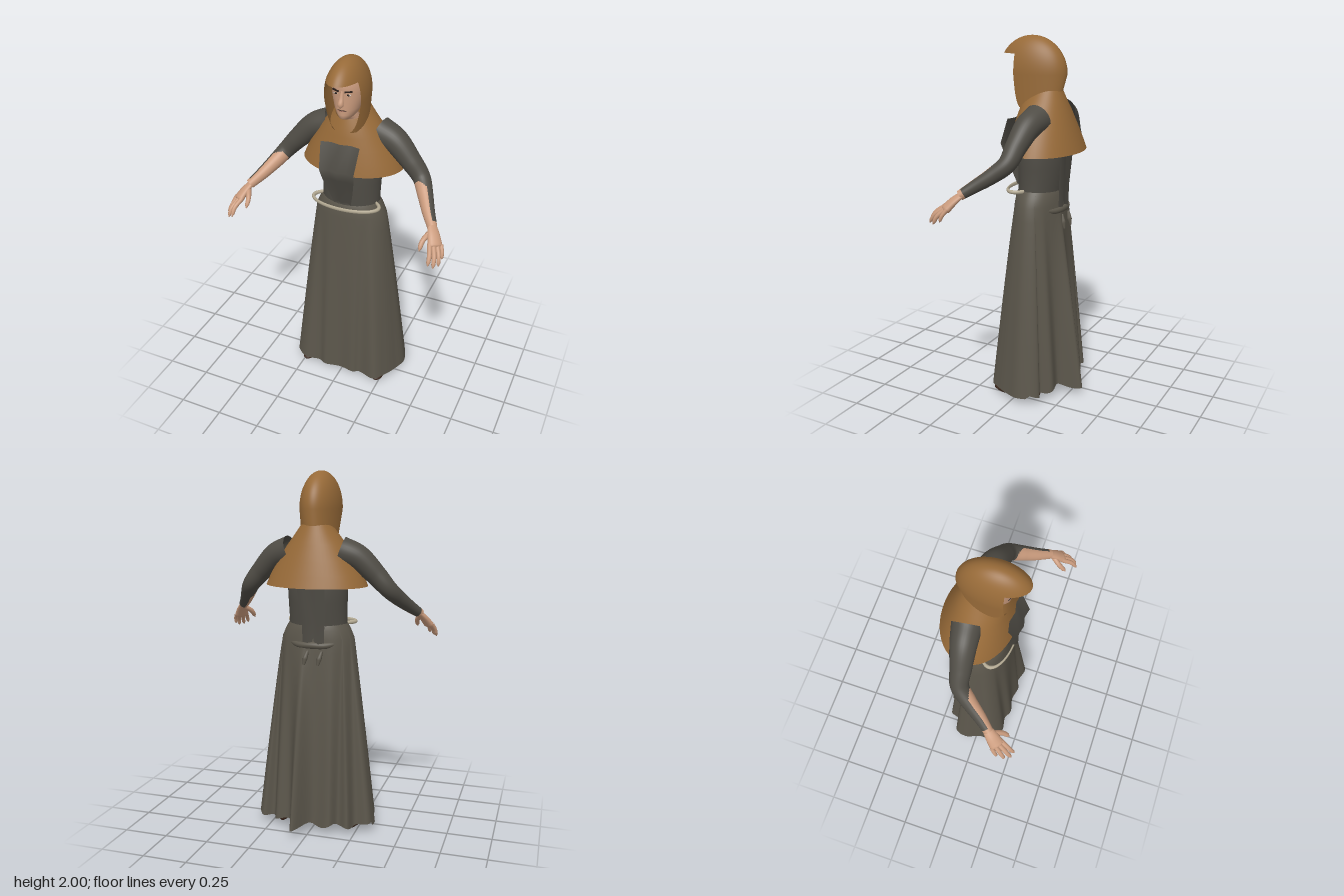
import * as THREE from 'three';

const V = (x, y, z) => new THREE.Vector3(x, y, z);
const mat = (name, color, side = THREE.FrontSide) => {
  const m = new THREE.MeshStandardMaterial({ color, side });
  m.name = name;
  return m;
};

// Surface through rows of points, listed bottom to top; pick() chooses the material group
function grid(rows, closed = true, pick = null) {
  const n = rows[0].length, groups = [[], []];
  for (let j = 0; j < rows.length - 1; j++) {
    for (let i = 0; i < (closed ? n : n - 1); i++) {
      const k = (i + 1) % n, a = j * n + i, b = j * n + k, c = a + n, d = b + n;
      groups[pick ? pick(j, i) : 0].push(a, b, d, a, d, c);
    }
  }
  const geo = new THREE.BufferGeometry().setFromPoints(rows.flat());
  geo.setIndex([...groups[0], ...groups[1]]);
  if (pick) {
    geo.addGroup(0, groups[0].length, 0);
    geo.addGroup(groups[0].length, groups[1].length, 1);
  }
  geo.computeVertexNormals();
  return geo;
}

// Horizontal oval from front depth zf to back depth zb, with optional front gap and tilt
function oval(y, rx, zf, zb, n = 40, gap = 0, tilt = 0) {
  const c = (zf + zb) / 2, r = (zf - zb) / 2;
  return Array.from({ length: n }, (_, i) => {
    const t = gap ? gap + (i / (n - 1)) * (2 * Math.PI - 2 * gap) : (i / n) * 2 * Math.PI;
    return V(rx * Math.sin(t), y - tilt * Math.cos(t), c + r * Math.cos(t));
  });
}

// Tapered tube along a path; ref sets angle zero, flat squashes the other axis
function limb(pts, radii, { ref = V(0, 0, 1), flat = 1, steps = 12, n = 14, pick = null } = {}) {
  const curve = new THREE.CatmullRomCurve3(pts);
  const rows = [];
  for (let j = 0; j <= steps; j++) {
    const u = j / steps, p = curve.getPoint(u), T = curve.getTangent(u);
    const F = ref.clone().addScaledVector(T, -ref.dot(T)).normalize();
    const B = T.clone().cross(F);
    const s = u * (radii.length - 1), k = Math.min(Math.floor(s), radii.length - 2);
    const r = THREE.MathUtils.lerp(radii[k], radii[k + 1], s - k);
    rows.push(Array.from({ length: n }, (_, i) => {
      const a = (i / n) * 2 * Math.PI;
      return p.clone().addScaledVector(F, r * Math.cos(a)).addScaledVector(B, r * flat * Math.sin(a));
    }));
  }
  return grid(rows, true, pick && ((j, i) => pick((j + 0.5) / steps, ((i + 0.5) / n) * 2 * Math.PI)));
}

export function createModel() {
  const model = new THREE.Group();
  const robe = mat('robe grey brown', 0x5b564b, THREE.DoubleSide);
  const cloth = mat('tunic dark grey', 0x4f4c45, THREE.DoubleSide);
  const hoodMat = mat('hood ochre', 0x976a38, THREE.DoubleSide);
  const skin = mat('skin', 0xca9b7d);
  const rope = mat('rope', 0xb5ab94);
  const leather = mat('shoe leather', 0x3d281d);
  const dark = mat('brow dark', 0x2b201b);
  const lip = mat('lips', 0xa06c5a);
  const white = mat('eye white', 0xcfc6ba);
  const add = (name, geo, m, parent = model) => {
    const mesh = new THREE.Mesh(geo, m);
    mesh.name = name;
    parent.add(mesh);
    return mesh;
  };

  // Skirt: blends from the hip oval to a wavy, folded hem
  const hem = new THREE.CatmullRomCurve3([
    [0, .15], [.09, .165], [.125, .145], [.23, .168], [.285, .1], [.32, .025], [.345, -.06], [.295, -.165], [.235, -.14],
    [.2, -.2], [.12, -.2], [.07, -.328], [-.02, -.21], [-.12, -.23], [-.16, -.18], [-.22, -.205], [-.25, -.14],
    [-.325, -.135], [-.345, -.06], [-.315, .02], [-.305, .1], [-.23, .155], [-.14, .145], [-.09, .168],
  ].map(([x, z]) => V(x, 0, z)), true);
  const N = 144;
  const hemPts = Array.from({ length: N }, (_, i) => hem.getPoint(i / N));
  const skirtRow = (y, rx, rz, t) => hemPts.map((h) => {
    const a = Math.atan2(h.x, h.z + 0.04);
    const drop = 0.037 + 0.025 * Math.sin(a * 4.5) ** 2 * (Math.cos(a) < -0.2 ? 1 : 0.15);
    return V(rx * Math.sin(a), 0, -0.03 + rz * Math.cos(a)).lerp(h, t ** 0.92).setY(t ? THREE.MathUtils.lerp(y, drop, t) : y);
  });
  const skirtRows = [skirtRow(1.18, .165, .115, 0), skirtRow(1.15, .183, .127, 0), skirtRow(1.1, .205, .131, 0)];
  for (let j = 1; j <= 14; j++) skirtRows.push(skirtRow(1.1, .205, .131, j / 14));
  add('skirt', grid(skirtRows.reverse()), robe);

  // Torso
  add('torso', grid([
    oval(1.1, .17, .08, -.14), oval(1.2, .163, .088, -.15), oval(1.3, .166, .09, -.165),
    oval(1.4, .17, .09, -.17), oval(1.5, .16, .08, -.16), oval(1.6, .1, .04, -.11),
  ]), cloth);

  // Loose hanging panels on chest and back: rows of [y, z, half width, x]
  const panel = (name, rows) => add(name, grid(rows.map(([y, z, w, x]) =>
    [-1, -.5, 0, .5, 1].map((s) => V(x + s * w, y, z + .006 * Math.cos(s * 6)))), false), cloth);
  panel('frontPanel', [[1.19, .092, .05, 0], [1.28, .12, .072, 0], [1.36, .15, .09, 0], [1.42, .17, .098, 0], [1.56, .118, .11, 0]]);
  panel('backPanel', [[1.08, -.165, .06, -.01], [1.2, -.168, .065, -.01], [1.42, -.19, .08, 0]]);

  // Gathered cloth at the back of the hips, with two small tucks below
  add('backGather', limb([V(.17, 1.09, -.085), V(.08, 1.07, -.145), V(0, 1.07, -.158), V(-.08, 1.07, -.145), V(-.17, 1.09, -.085)],
    [.01, .018, .02, .018, .01], { steps: 20 }), robe);
  for (const x of [-.06, .02]) {
    add('backTuck', limb([V(x, 1.04, -.165), V(x + .01, 1, -.178), V(x + .015, .965, -.188)], [.008, .014, .006], { n: 8 }), robe);
  }

  // Rope belt
  const belt = add('belt', new THREE.TorusGeometry(1, .055, 8, 56), rope);
  belt.rotation.x = Math.PI / 2;
  belt.scale.set(.192, .087, .2);
  belt.position.set(0, 1.178, .05);

  // Shoulder cape, closing under the chin
  add('cape', grid([
    oval(1.39, .284, .14, -.26, 56), oval(1.45, .258, .127, -.24, 56, 0, .003), oval(1.52, .218, .11, -.215, 56, 0, .008),
    oval(1.6, .168, .092, -.185, 56, 0, .014), oval(1.65, .13, .08, -.163, 56, 0, .02), oval(1.705, .088, .062, -.14, 56, 0, .028),
  ]), hoodMat);

  // Hood: closed crown with a brim, then open sides around the face
  const softNormals = (geo) => {
    const p = geo.attributes.position, v = V(0, 0, 0);
    for (let i = 0; i < p.count; i++) {
      v.set(p.getX(i) / .0114, Math.max(p.getY(i) - 1.8, 0) / .04, (p.getZ(i) - .025) / .04).normalize();
      geo.attributes.normal.setXYZ(i, v.x, v.y, v.z);
    }
    return geo;
  };
  const crown = [], sides = [];
  const brim = Math.asin(.105 / .2);
  for (let j = 0; j <= 12; j++) {
    const a = brim + (j / 12) * (Math.PI / 2 - brim), s = Math.max(Math.cos(a), .002);
    crown.push(oval(1.8 + .2 * Math.sin(a), .107 * s, .025 + .2 * s, .025 - .2 * s, 96));
  }
  for (let j = 0; j <= 18; j++) {
    const y = 1.62 + (j / 18) * .295;
    const k = Math.max((1.8 - y) / .18, 0), s = Math.sqrt(1 - (Math.max(y - 1.8, 0) / .2) ** 2);
    const rx = .108 * s - .012 * k, zf = .025 + .2 * s - .125 * k, zb = .025 - .2 * s + .055 * k;
    const gap = Math.acos((.09 - (zf + zb) / 2) / ((zf - zb) / 2));
    sides.push(oval(y, rx, zf, zb, 96, gap));
  }
  add('hoodCrown', softNormals(grid(crown)), hoodMat);
  add('hoodSides', softNormals(grid(sides, false)), hoodMat);

  // Head and neck
  const head = new THREE.Group();
  head.name = 'head';
  model.add(head);
  add('face', grid([
    oval(1.58, .055, .03, -.08), oval(1.67, .05, .04, -.07), oval(1.685, .03, .082, -.06), oval(1.695, .04, .097, -.06),
    oval(1.715, .055, .1, -.06), oval(1.745, .07, .098, -.07), oval(1.8, .083, .098, -.08), oval(1.835, .086, .096, -.08),
    oval(1.855, .086, .1, -.08), oval(1.9, .08, .094, -.08), oval(1.94, .06, .07, -.06),
  ]), skin, head);
  // Nose: a wedge widening and rising toward the tip
  add('nose', limb([V(0, 1.764, .098), V(0, 1.775, .112), V(0, 1.805, .102), V(0, 1.845, .092)], [.004, .016, .012, .008]), skin, head);
  const blob = (name, m, x, y, z, sx, sy, sz) => {
    const b = add(name, new THREE.SphereGeometry(1, 14, 10), m, head);
    b.position.set(x, y, z);
    b.scale.set(sx, sy, sz);
  };
  blob('mouthLine', dark, 0, 1.741, .09, .028, .002, .0115);
  blob('lowerLip', lip, 0, 1.737, .09, .024, .004, .011);
  for (const s of [-1, 1]) {
    blob('eye', white, s * .034, 1.827, .089, .014, .005, .005);
    blob('iris', dark, s * .034, 1.828, .093, .007, .005, .004);
    const brow = add('brow', new THREE.BoxGeometry(.038, .007, .008), dark, head);
    brow.position.set(s * .035, 1.845, .093);
    brow.rotation.set(0, s * .3, s * .08);
  }

  // Arms, hands and shoes, mirrored
  for (const s of [1, -1]) {
    const side = new THREE.Group();
    side.name = s > 0 ? 'leftLimbs' : 'rightLimbs';
    side.scale.x = s;
    model.add(side);
    // Sleeve covers the outer side down to the wrist; the inner forearm is bare
    add('arm', limb(
      [V(.14, 1.578, -.078), V(.23, 1.545, -.066), V(.325, 1.457, -.05), V(.395, 1.378, -.035),
        V(.44, 1.322, .025), V(.487, 1.268, .1), V(.533, 1.222, .165)],
      [.08, .07, .057, .048, .042, .034, .026],
      { steps: 54, n: 32, pick: (u, a) => (u > .97 || (u > .55 && Math.cos(a - .55) > Math.max(.05, .9 - (u - .55) * 9)) ? 1 : 0) },
    ), [cloth, skin], side);

    const across = V(.8, -.3, -.5);
    add('palm', limb([V(.525, 1.23, .152), V(.55, 1.195, .19), V(.572, 1.155, .225), V(.578, 1.145, .235)],
      [.025, .035, .042, .012], { ref: across, flat: .55 }), skin, side);
    const fingers = [
      ['indexFinger', V(.546, 1.167, .235), V(.565, 1.13, .29), V(.568, 1.088, .32), .0125],
      ['middleFinger', V(.565, 1.16, .23), V(.588, 1.12, .283), V(.594, 1.075, .312), .0125],
      ['ringFinger', V(.583, 1.155, .22), V(.605, 1.115, .26), V(.612, 1.074, .28), .012],
      ['littleFinger', V(.597, 1.157, .203), V(.612, 1.122, .226), V(.615, 1.092, .237), .0105],
      ['thumb', V(.538, 1.21, .175), V(.508, 1.175, .23), V(.503, 1.132, .272), .0145],
    ];
    for (const [name, a, b, c, r] of fingers) {
      add(name, limb([a, b, c], [1.1, 1.05, 1, .95, .9, .8, .1].map((f) => f * r), { n: 10 }), skin, side);
    }

    // Shoe: ellipsoid with a flattened sole, wider at the toe
    const geo = new THREE.SphereGeometry(1, 20, 14), p = geo.attributes.position;
    for (let i = 0; i < p.count; i++) {
      const z = p.getZ(i);
      p.setXYZ(i, p.getX(i) * (.043 + .01 * z), Math.max(p.getY(i) * (.045 - .018 * z), -.018) + .018, z * .14);
    }
    geo.computeVertexNormals();
    const shoe = add('shoe', geo, leather, side);
    shoe.position.set(.215, 0, .015);
    shoe.rotation.y = .15;
  }
  return model;
}
